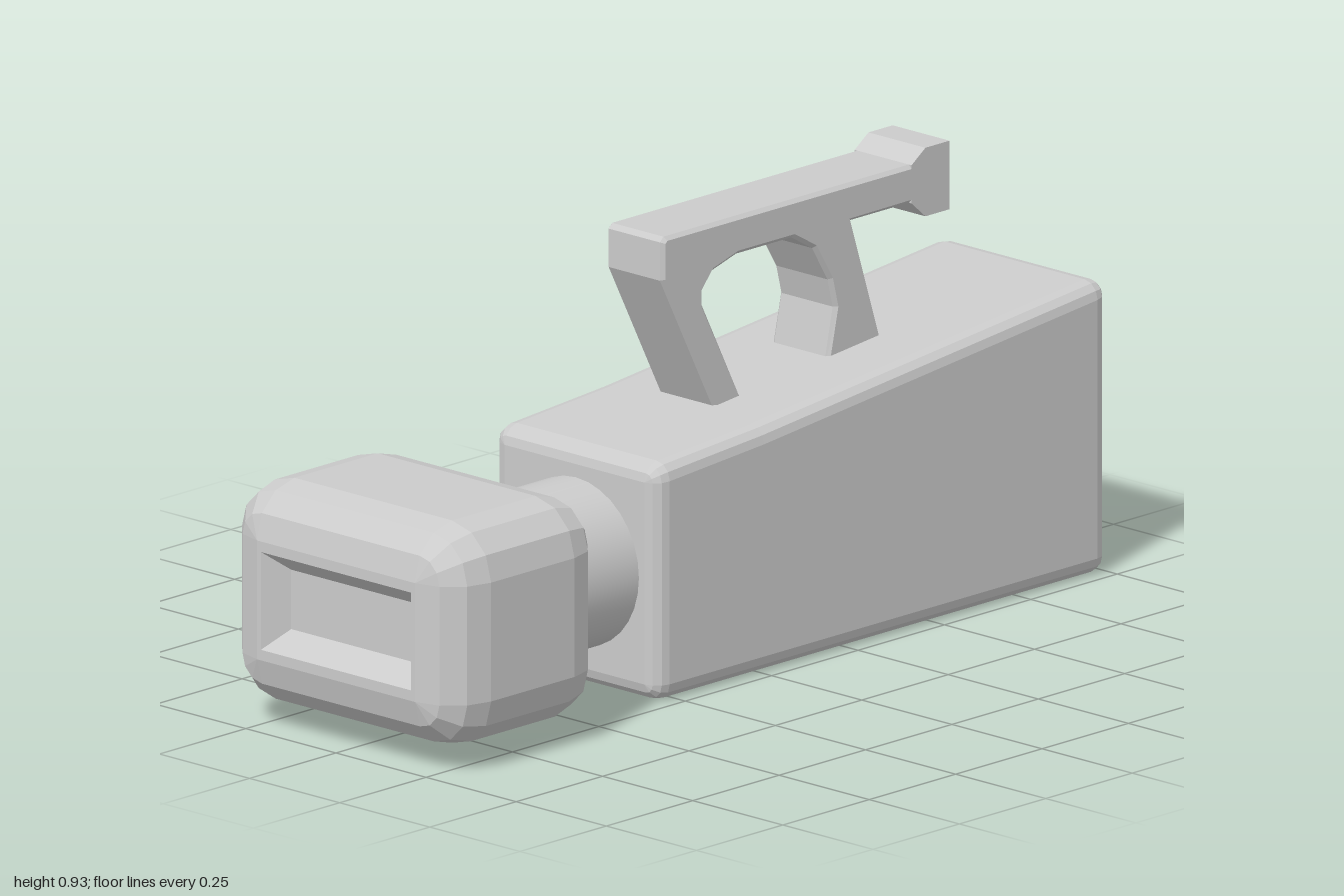
import * as THREE from 'three';
import { toCreasedNormals } from 'three/addons/utils/BufferGeometryUtils.js';

const material = new THREE.MeshStandardMaterial({ color: 0xcccccc, flatShading: true });
const smooth = new THREE.MeshStandardMaterial({ color: 0xcccccc });
const STEPS = 3; // facets per rounded corner

// Rounded rectangle in the xy plane, counter-clockwise seen from +z
function ring(z, w, y0, y1, r) {
  const pts = [];
  const corners = [[w - r, y1 - r], [r - w, y1 - r], [r - w, y0 + r], [w - r, y0 + r]];
  corners.forEach(([cx, cy], k) => {
    for (let i = 0; i <= STEPS; i++) {
      const a = (k + i / STEPS) * Math.PI / 2;
      pts.push(new THREE.Vector3(cx + r * Math.cos(a), cy + r * Math.sin(a), z));
    }
  });
  return pts;
}

// Rings that round off one end; side is -1 for the back and 1 for the front
function roundedEnd(zEnd, side, w, y0, topAt, r) {
  const rings = [];
  for (let i = 0; i <= STEPS; i++) {
    const a = (i / STEPS) * Math.PI / 2;
    const inset = r * (1 - Math.cos(a));
    const z = zEnd - side * r * (1 - Math.sin(a));
    rings.push(ring(z, w - inset, y0 + inset, topAt(z) - inset, r - inset));
  }
  return side < 0 ? rings.reverse() : rings;
}

// Skin between successive rings, closed with a fan at each end
function loft(rings) {
  const centre = (loop) => {
    const c = new THREE.Vector3();
    loop.forEach((p) => c.addScaledVector(p, 1 / loop.length));
    return loop.map(() => c);
  };
  const all = [centre(rings[0]), ...rings, centre(rings[rings.length - 1])];
  const pos = [];
  const tri = (a, b, c) => {
    const area = b.clone().sub(a).cross(c.clone().sub(a)).length();
    if (area > 1e-9) [a, b, c].forEach((p) => pos.push(p.x, p.y, p.z));
  };
  for (let i = 0; i < all.length - 1; i++) {
    const p = all[i], q = all[i + 1], n = p.length;
    for (let j = 0; j < n; j++) {
      const k = (j + 1) % n;
      tri(p[j], p[k], q[k]);
      tri(p[j], q[k], q[j]);
    }
  }
  const g = new THREE.BufferGeometry();
  g.setAttribute('position', new THREE.Float32BufferAttribute(pos, 3));
  g.computeVertexNormals();
  return g;
}

// Side outline given as [z, y], extruded across x from x0 to x1
function sideExtrude(points, x0, x1, bevel) {
  const shape = new THREE.Shape(points.map(([z, y]) => new THREE.Vector2(z, y)));
  const g = new THREE.ExtrudeGeometry(shape, {
    depth: x1 - x0 - 2 * bevel, bevelEnabled: bevel > 0, bevelSize: bevel,
    bevelThickness: bevel, bevelOffset: -bevel, bevelSegments: 1,
  });
  return g.rotateY(-Math.PI / 2).translate(x1 - bevel, 0, 0);
}

export function createModel() {
  const group = new THREE.Group();
  const add = (name, geometry, mat = material) => {
    const mesh = new THREE.Mesh(geometry, mat);
    mesh.name = name;
    group.add(mesh);
  };

  // Long body whose top climbs towards the back
  const bodyTop = (z) => (z > 0 ? 0.515 - z * 0.07 : 0.515 - z * 0.1);
  add('body', loft([
    ...roundedEnd(-1, -1, 0.23, 0, bodyTop, 0.036),
    ring(0, 0.23, 0, bodyTop(0), 0.036),
    ...roundedEnd(0.31, 1, 0.23, 0, bodyTop, 0.036),
  ]));

  // Round neck joining body and head
  const neck = new THREE.CylinderGeometry(0.175, 0.175, 0.34, 32);
  neck.rotateX(Math.PI / 2).translate(0.004, 0.255, 0.43);
  add('neck', toCreasedNormals(neck, 0.6), smooth);

  // Rounded head with a bevelled rectangular recess in its front
  const headTop = () => 0.507;
  add('head', loft([
    ...roundedEnd(0.543, -1, 0.327, 0.043, headTop, 0.108),
    ...roundedEnd(1, 1, 0.327, 0.043, headTop, 0.108),
    ring(1, 0.208, 0.173, 0.377, 0),
    ring(0.95, 0.172, 0.213, 0.337, 0),
  ]));

  // Handle with two legs sunk into the body
  add('handle', sideExtrude([
    [0.12, 0.89], [0.12, 0.81], [-0.05, 0.48], [-0.13, 0.48],
    [0, 0.735], [0, 0.765], [-0.03, 0.80], [-0.1, 0.82], [-0.26, 0.82],
    [-0.32, 0.785], [-0.365, 0.71], [-0.38, 0.65], [-0.35, 0.51],
    [-0.53, 0.51], [-0.43, 0.82], [-0.61, 0.82], [-0.61, 0.90], [0.11, 0.90],
  ], -0.095, 0.063, 0.008));

  // Flared block at the back end of the handle
  add('handleEnd', sideExtrude([
    [-0.6, 0.90], [-0.6, 0.82], [-0.64, 0.785],
    [-0.71, 0.785], [-0.71, 0.928], [-0.64, 0.928],
  ], -0.095, 0.063, 0));

  return group;
}
